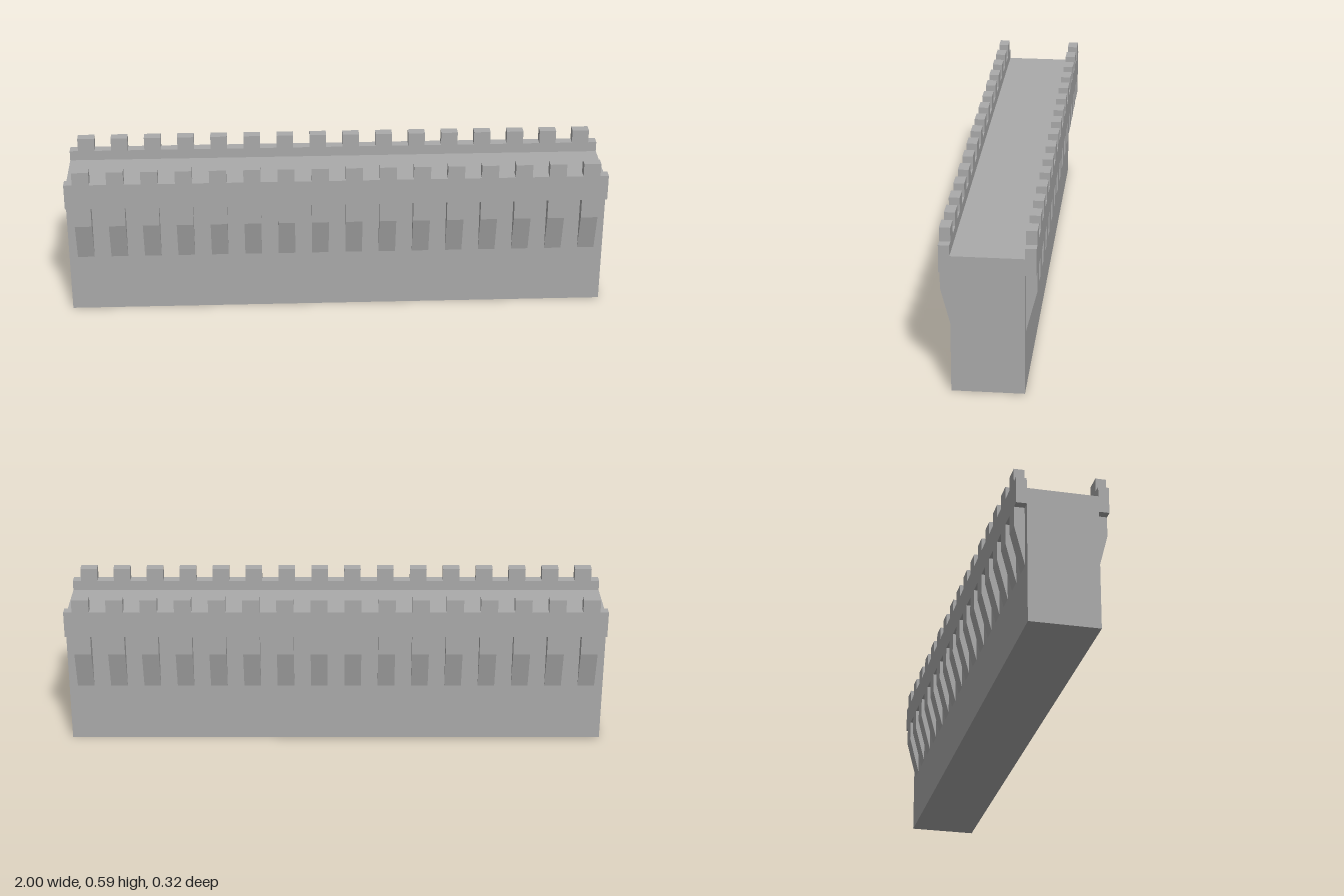
import * as THREE from 'three';

export function createModel() {
  const model = new THREE.Group();
  model.name = 'battlementWall';
  const stone = new THREE.MeshStandardMaterial({ color: 0xaaaaaa });
  stone.name = 'greyStone';

  const COUNT = 16, PITCH = 2 / COUNT, WIDTH = PITCH / 2;
  const INNER = 0.125, OUTER = 0.1625, DEPTH = OUTER - INNER;

  const box = (name, w, y0, y1, d, x, z, parent) => {
    const mesh = new THREE.Mesh(new THREE.BoxGeometry(w, y1 - y0, d), stone);
    mesh.position.set(x, (y0 + y1) / 2, z);
    mesh.name = name;
    parent.add(mesh);
  };

  // Solid wall with a flat walkway on top
  box('wallBody', 2, 0, 0.5, INNER * 2, 0, 0, model);

  // Corbel profile drawn in (z, y), extruded along x
  const profile = new THREE.Shape([
    [INNER, 0.22], [OUTER, 0.367], [OUTER, 0.44], [INNER, 0.44],
  ].map(([z, y]) => new THREE.Vector2(z, y)));
  const corbelGeometry = new THREE.ExtrudeGeometry(profile, { depth: WIDTH, bevelEnabled: false });
  corbelGeometry.translate(0, 0, -WIDTH / 2).rotateY(-Math.PI / 2);

  // Overhanging parapet, merlons and corbels on both faces
  for (const name of ['frontParapet', 'backParapet']) {
    const side = new THREE.Group();
    side.name = name;
    const z = (INNER + OUTER) / 2;
    box('parapetBand', 2, 0.44, 0.538, DEPTH, 0, z, side);
    for (let i = 0; i < COUNT; i++) {
      const x = -1 + PITCH * (i + 0.5);
      box('merlon', WIDTH, 0.538, 0.588, DEPTH, x, z, side);
      const corbel = new THREE.Mesh(corbelGeometry, stone);
      corbel.name = 'corbel';
      corbel.position.x = x;
      side.add(corbel);
    }
    if (name === 'backParapet') side.rotation.y = Math.PI;
    model.add(side);
  }
  return model;
}
